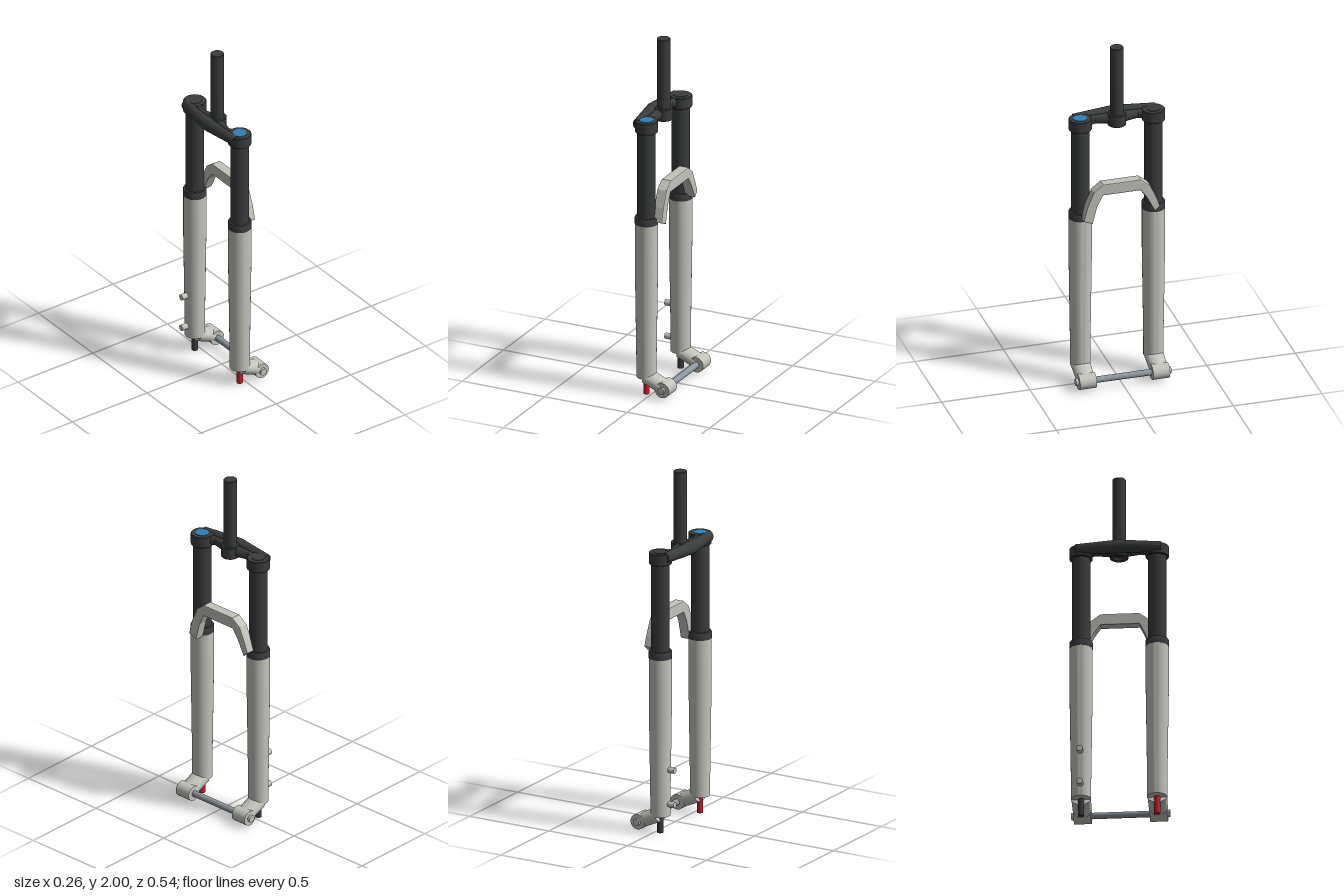
import * as THREE from 'three';
import { toCreasedNormals } from 'three/addons/utils/BufferGeometryUtils.js';

const mat = (color) => new THREE.MeshStandardMaterial({ color });
const LEG_X = -0.03, LEG_Z = 0.207, AXLE_X = 0.087, AXLE_Y = 0.053;

export function createModel() {
  const group = new THREE.Group();
  const dark = mat(0x3a3c3d), light = mat(0xc2c4bc), steel = mat(0x8d979e);
  const blue = mat(0x2f7fb5), red = mat(0xc8202f);

  const add = (name, geometry, material, x = 0, y = 0, z = 0) => {
    const mesh = new THREE.Mesh(geometry, material);
    mesh.name = name;
    mesh.position.set(x, y, z);
    group.add(mesh);
    return mesh;
  };
  // Upright turned part from [radius, height] pairs
  const turned = (points) => toCreasedNormals(
    new THREE.LatheGeometry(points.map(([r, y]) => new THREE.Vector2(r, y)), 40), 0.5);
  // Cylinder running along z
  const crossRod = (r, length) => new THREE.CylinderGeometry(r, r, length, 32).rotateX(Math.PI / 2);
  // Elliptical tube along z through sections [x, y, z, rx, ry]
  const loft = (sections) => {
    const n = sections.length - 1;
    const geo = new THREE.CylinderGeometry(1, 1, 1, 28, n).rotateX(Math.PI / 2);
    const p = geo.attributes.position;
    for (let i = 0; i < p.count; i++) {
      const [x, y, z, rx, ry] = sections[Math.round((p.getZ(i) + 0.5) * n)];
      p.setXYZ(i, x + p.getX(i) * rx, y + p.getY(i) * ry, z);
    }
    return toCreasedNormals(geo, 0.6);
  };
  const mirrored = (half) => [
    ...half.map(([x, y, z, rx, ry]) => [x, y, -z, rx, ry]).reverse(),
    ...half.slice(half[0][2] === 0 ? 1 : 0)];

  // Steerer tube, open at the bottom, and its collar
  add('steererTube', turned([[0.028, 1.57], [0.028, 1.53], [0.037, 1.53], [0.037, 1.997], [0.034, 2], [0, 2]]),
    dark, LEG_X);
  add('steererPlug', new THREE.CircleGeometry(0.028, 32).rotateX(Math.PI / 2), dark, LEG_X, 1.57);
  add('steererCollar', turned([[0.037, 1.53], [0.048, 1.53], [0.051, 1.533], [0.051, 1.595], [0.048, 1.598], [0.037, 1.598]]),
    dark, LEG_X);

  // Crown: bowed rear brace and two waisted arms
  add('crownBrace', loft(mirrored([[-0.097, 1.573, 0, 0.035, 0.037], [-0.077, 1.573, 0.233, 0.022, 0.029]])), dark);
  add('crownArms', loft(mirrored([
    [-0.042, 1.567, 0, 0.034, 0.031], [-0.042, 1.567, 0.045, 0.029, 0.03],
    [-0.05, 1.567, 0.122, 0.016, 0.026], [-0.034, 1.567, 0.19, 0.034, 0.03]])), dark);

  for (const side of [1, -1]) {
    const z = side * LEG_Z;
    const prefix = side > 0 ? 'left' : 'right';
    // Upper leg with crown clamp and top cap
    add(prefix + 'Stanchion', new THREE.CylinderGeometry(0.05, 0.05, 0.6, 40), dark, LEG_X, 1.28, z);
    add(prefix + 'CrownClamp', turned([[0, 1.53], [0.06, 1.53], [0.063, 1.533], [0.063, 1.592], [0.06, 1.595], [0, 1.595]]),
      dark, LEG_X, 0, z);
    add(prefix + 'TopCap', new THREE.CylinderGeometry(0.038, 0.038, 0.02, 40), side > 0 ? blue : dark, LEG_X, 1.588, z);
    // Seal and tapered lower leg
    add(prefix + 'Seal', turned([[0.05, 0.995], [0.064, 0.995], [0.064, 1.03], [0.061, 1.036], [0.049, 1.036]]),
      dark, LEG_X, 0, z);
    add(prefix + 'LowerLeg', turned([[0, 0.1], [0.055, 0.1], [0.055, 0.2], [0.063, 0.75], [0.063, 1], [0.05, 1]]),
      light, LEG_X, 0, z);
    // Flattened dropout arm leading forward to the axle boss
    const from = new THREE.Vector2(-0.025, 0.103), to = new THREE.Vector2(0.09, 0.051);
    const arm = add(prefix + 'DropoutArm', new THREE.CylinderGeometry(0.042, 0.04, from.distanceTo(to), 32), light,
      (from.x + to.x) / 2, (from.y + to.y) / 2, z);
    arm.scale.z = 1.27;
    arm.rotation.z = Math.atan2(from.y - to.y, from.x - to.x) - Math.PI / 2;
    add(prefix + 'AxleBoss', crossRod(0.043, 0.095), light, AXLE_X, AXLE_Y, z);
    add(prefix + 'AxleEnd', crossRod(0.02, 0.03), light, AXLE_X, AXLE_Y, side * 0.254);
    // Adjuster knob below the leg
    add(prefix + 'Adjuster', new THREE.CylinderGeometry(0.017, 0.017, 0.11, 24), side > 0 ? red : dark, LEG_X, 0.055, z);
  }

  add('axle', crossRod(0.0175, 0.5), steel, AXLE_X, AXLE_Y);

  // Brake mounting posts behind the right leg
  for (const y of [0.365, 0.17]) {
    add('brakePost', new THREE.CylinderGeometry(0.017, 0.017, 0.08, 24).rotateZ(Math.PI / 2), light, -0.082, y, -LEG_Z);
  }

  // Bridge arch joining the lower legs, outlined in (z, y)
  const arch = new THREE.Shape([
    [0.217, 1.013], [0.196, 1.093], [0.159, 1.183], [0.106, 1.223],
    [-0.106, 1.223], [-0.159, 1.183], [-0.2, 1.093], [-0.216, 1.045], [-0.187, 1.018],
    [-0.142, 1.105], [-0.106, 1.157], [0.106, 1.157], [0.138, 1.093], [0.164, 0.99],
  ].map(([z, y]) => new THREE.Vector2(-z, y)));
  const archGeo = new THREE.ExtrudeGeometry(arch, {
    depth: 0.046, bevelEnabled: true, bevelThickness: 0.006, bevelSize: 0.006, bevelOffset: -0.006, bevelSegments: 2,
  }).rotateY(Math.PI / 2);
  add('bridgeArch', archGeo, light, 0.016);

  return group;
}
